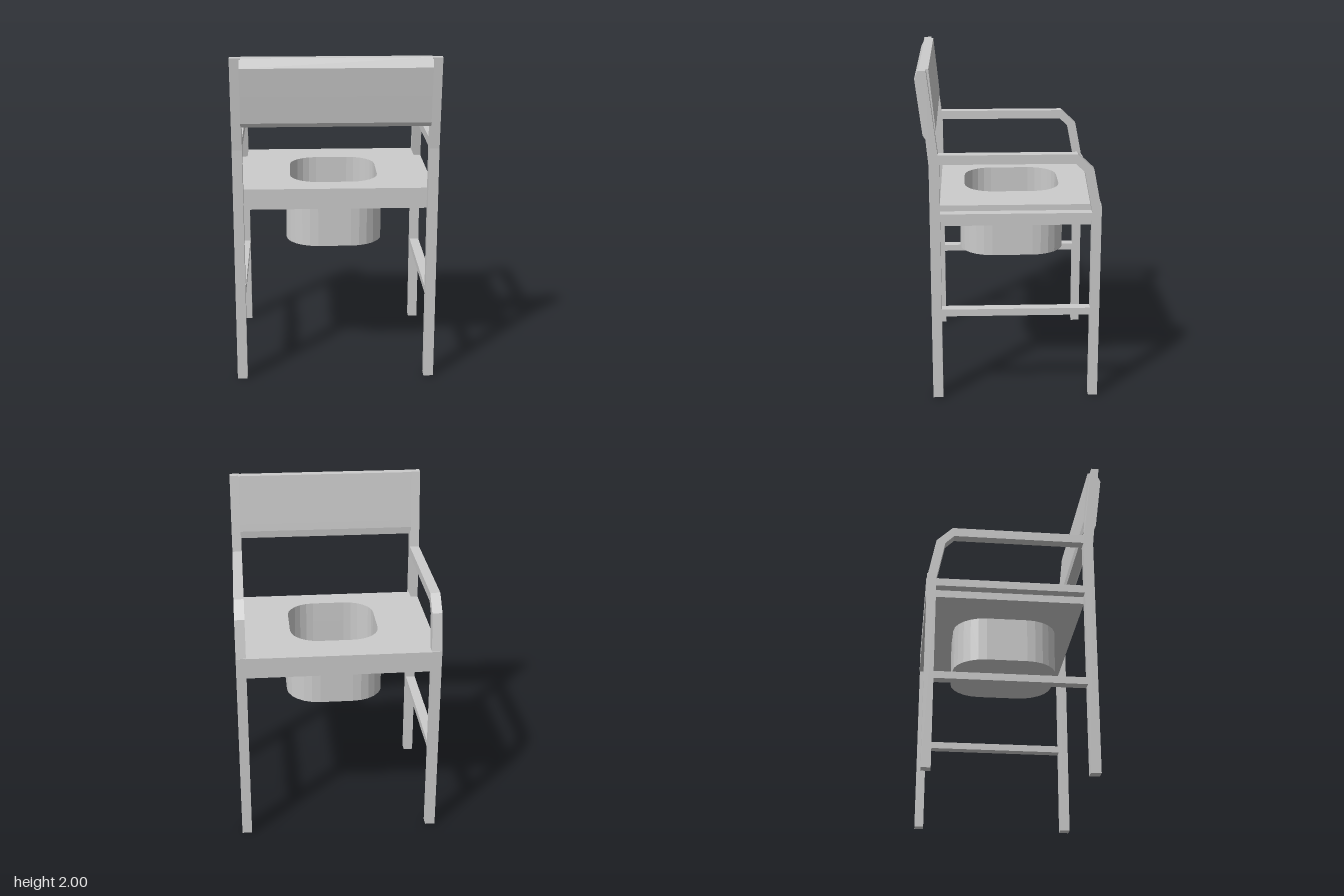
import * as THREE from 'three';

const material = new THREE.MeshStandardMaterial({ color: 0xcccccc, flatShading: true });

function add(group, name, geometry) {
  const mesh = new THREE.Mesh(geometry, material);
  mesh.name = name;
  group.add(mesh);
}

// Side profile of [z, y] points extruded along x, centred on x = cx
function sideProfile(points, width, cx = 0) {
  const shape = new THREE.Shape(points.map(([z, y]) => new THREE.Vector2(z, y)));
  const g = new THREE.ExtrudeGeometry(shape, { depth: width, bevelEnabled: false });
  return g.rotateY(-Math.PI / 2).translate(cx + width / 2, 0, 0);
}

// Box given by its extents
function box(x0, x1, y0, y1, z0, z1) {
  return new THREE.BoxGeometry(x1 - x0, y1 - y0, z1 - z0)
    .translate((x0 + x1) / 2, (y0 + y1) / 2, (z0 + z1) / 2);
}

// Rounded rectangle outline in x and z, as points
function roundedOutline(hx, hz, cz, r, steps = 6) {
  const pts = [];
  [[1, 1], [-1, 1], [-1, -1], [1, -1]].forEach(([sx, sz], q) => {
    for (let i = 0; i <= steps; i++) {
      const a = (q + i / steps) * Math.PI / 2;
      pts.push(new THREE.Vector2(sx * (hx - r) + r * Math.cos(a), cz + sz * (hz - r) + r * Math.sin(a)));
    }
  });
  return pts;
}

// Horizontal plate from y0 to y1 with an optional hole
function plate(outline, hole, y0, y1) {
  const shape = new THREE.Shape(outline);
  if (hole) shape.holes.push(new THREE.Path(hole));
  return new THREE.ExtrudeGeometry(shape, { depth: y1 - y0, bevelEnabled: false })
    .rotateX(Math.PI / 2).translate(0, y1, 0);
}

export function createModel() {
  const chair = new THREE.Group();
  chair.name = 'commodeChair';

  // Seat with opening
  const opening = roundedOutline(0.27, 0.29, -0.03, 0.17);
  const seatOutline = [[-0.546, -0.535], [0.546, -0.535], [0.546, 0.405], [-0.546, 0.405]]
    .map(([x, z]) => new THREE.Vector2(x, z));
  add(chair, 'seat', plate(seatOutline, opening, 1.075, 1.2));

  // Basin under the opening
  const basinOutline = roundedOutline(0.295, 0.318, -0.028, 0.195);
  add(chair, 'basinWall', plate(basinOutline, opening, 0.84, 1.075));
  add(chair, 'basinFloor', plate(basinOutline, null, 0.8, 0.84));

  // Backrest pad with curved rear
  add(chair, 'backrest', sideProfile([
    [0.455, 2], [0.424, 1.69], [0.42, 1.645], [0.425, 1.6], [0.48, 1.595],
    [0.495, 1.62], [0.515, 1.78], [0.535, 1.945], [0.51, 2],
  ], 1.1));

  // Legs, armrests and rails on both sides
  for (const [side, s] of [['left', 1], ['right', -1]]) {
    const frame = new THREE.Group();
    frame.name = side + 'Frame';
    const w = 0.06, cx = s * 0.575;
    const x0 = cx - w / 2, x1 = cx + w / 2;
    add(frame, 'backPost', sideProfile([
      [0.403, 0], [0.463, 0], [0.463, 1.455], [0.515, 2], [0.468, 2], [0.403, 1.455],
    ], w, cx));
    add(frame, 'frontLeg', box(x0, x1, 0, 1.2, -0.532, -0.477));
    add(frame, 'armrest', sideProfile([
      [-0.477, 1.17], [-0.532, 1.17], [-0.527, 1.2], [-0.483, 1.425], [-0.388, 1.515],
      [0.41, 1.515], [0.404, 1.46], [-0.377, 1.46], [-0.43, 1.408],
    ], w, cx));
    add(frame, 'seatRail', box(x0, x1, 1.12, 1.165, -0.477, 0.403));
    add(frame, 'lowerRail', box(x0, x1, 0.53, 0.573, -0.477, 0.403));
    chair.add(frame);
  }
  return chair;
}
